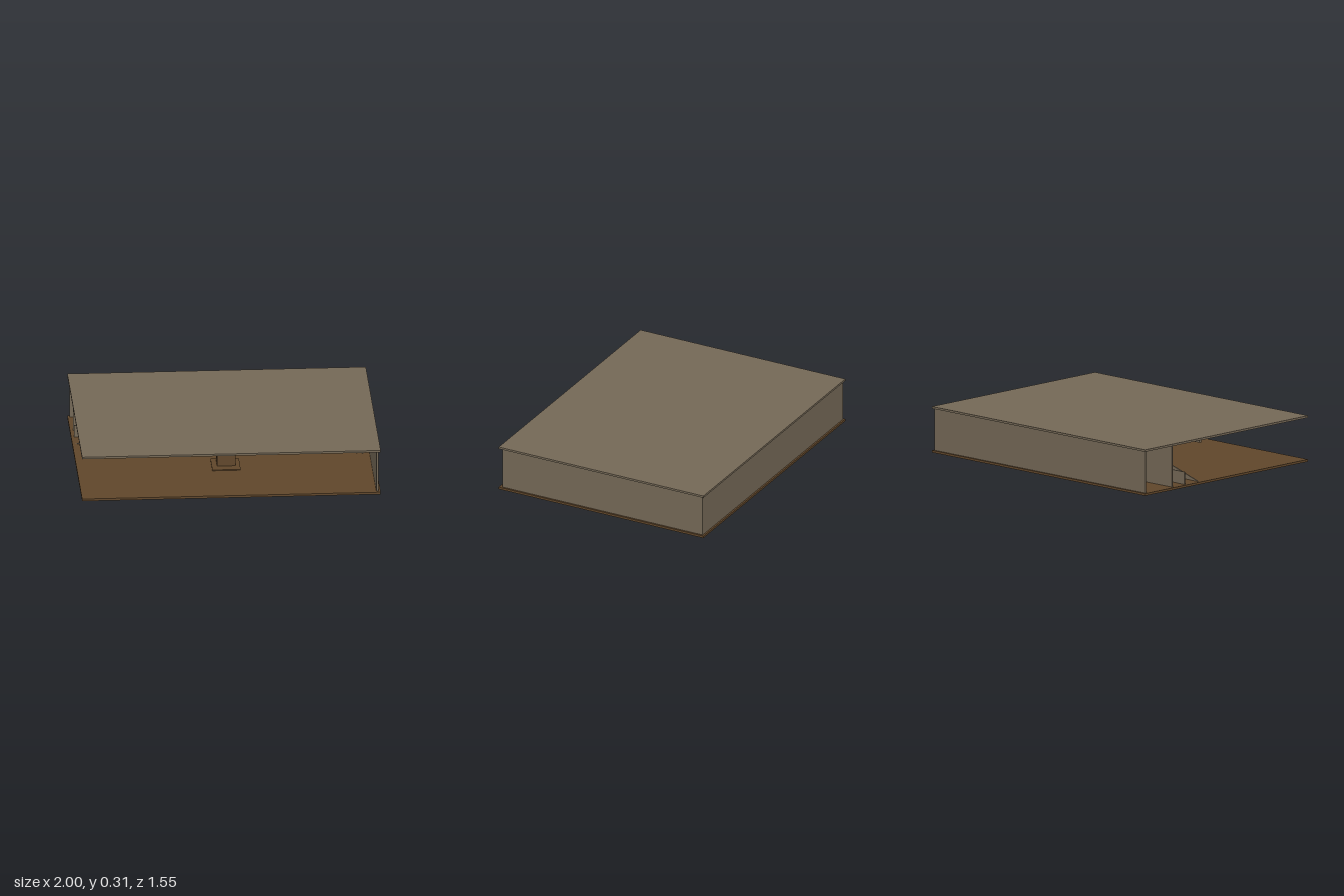
import * as THREE from 'three';

const mat = (name, color) => {
  const m = new THREE.MeshStandardMaterial({ color });
  m.name = name;
  return m;
};

export function createModel() {
  const plaster = mat('plaster', 0x746856);
  const wood = mat('wood', 0x60462a);
  const dark = mat('dark trim', 0x2c241b);
  const room = new THREE.Group();
  room.name = 'room';

  // Box given by its low and high limits on each axis
  const box = (name, m, [x0, x1], [y0, y1], [z0, z1], parent = room) => {
    const mesh = new THREE.Mesh(new THREE.BoxGeometry(x1 - x0, y1 - y0, z1 - z0), m);
    mesh.position.set((x0 + x1) / 2, (y0 + y1) / 2, (z0 + z1) / 2);
    mesh.name = name;
    parent.add(mesh);
    return mesh;
  };
  // Upright panel extruded from a side outline
  const panel = (name, points, z, depth = 0.008) => {
    const shape = new THREE.Shape(points.map(([x, y]) => new THREE.Vector2(x, y)));
    const geo = new THREE.ExtrudeGeometry(shape, { depth, bevelEnabled: false });
    const mesh = new THREE.Mesh(geo, plaster);
    mesh.position.z = z;
    mesh.name = name;
    room.add(mesh);
  };

  // Shell: open at the front and on the right
  box('floor', wood, [-1, 1], [0, 0.015], [-0.777, 0.777]);
  box('ceiling', plaster, [-1, 1], [0.3, 0.314], [-0.777, 0.777]);
  box('backWall', plaster, [-0.987, 0.987], [0.015, 0.3], [-0.765, -0.75]);
  box('leftWall', plaster, [0.972, 0.987], [0.015, 0.3], [-0.765, 0.757]);
  box('cornice', plaster, [-0.985, 0.972], [0.28, 0.3], [-0.242, -0.225]);

  // Sloping partitions and the low wall behind them
  panel('partition', [[-0.98, 0.015], [0.972, 0.015], [0.972, 0.3], [-0.05, 0.3]], -0.25);
  panel('rearPartition', [[-0.98, 0.015], [-0.06, 0.015], [-0.98, 0.3]], -0.5);
  panel('lowWall', [[-0.98, 0.015], [-0.6, 0.015], [-0.6, 0.1], [-0.98, 0.1]], -0.38);

  // Cabinet on its plinth
  const cabinet = new THREE.Group();
  cabinet.name = 'cabinet';
  room.add(cabinet);
  box('plinth', wood, [-0.098, 0.092], [0.015, 0.021], [0.1, 0.31], cabinet);
  box('cabinetBody', wood, [-0.062, 0.062], [0.021, 0.165], [0.13, 0.24], cabinet);
  box('cabinetTop', plaster, [-0.062, 0.062], [0.165, 0.19], [0.13, 0.24], cabinet);

  // Small hook above the cabinet
  box('hook', dark, [-0.004, 0.004], [0.225, 0.238], [-0.242, -0.23]);

  // Wall board
  box('wallBoard', dark, [0.96, 0.967], [0.1, 0.2], [-0.1, 0.1]);

  // Little table and chair
  const set = new THREE.Group();
  set.name = 'tableAndChair';
  room.add(set);
  box('tableTop', plaster, [0.88, 0.93], [0.05, 0.056], [-0.06, 0.06], set);
  for (const x of [0.884, 0.922])
    for (const z of [-0.055, 0.049])
      box('tableLeg', plaster, [x, x + 0.005], [0.015, 0.05], [z, z + 0.006], set);
  box('chairSeat', plaster, [0.848, 0.878], [0.042, 0.047], [-0.02, 0.02], set);
  box('chairBack', dark, [0.847, 0.851], [0.047, 0.085], [-0.02, 0.02], set);
  for (const [x, tilt] of [[0.854, -0.4], [0.872, 0.4]])
    for (const z of [-0.018, 0.014])
      box('chairLeg', plaster, [x - 0.002, x + 0.002], [0.015, 0.044], [z, z + 0.004], set).rotation.z = tilt;

  return room;
}
